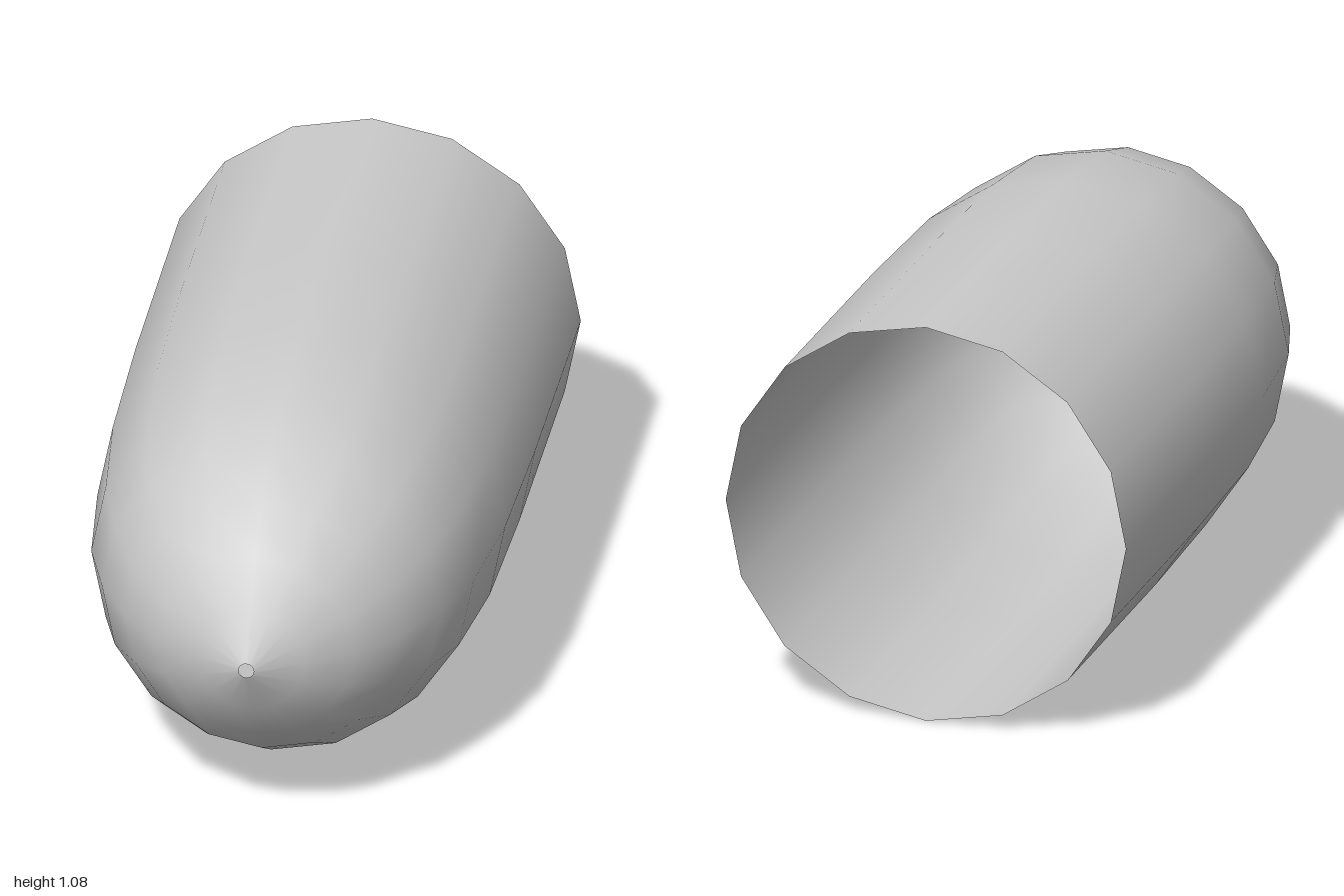
import * as THREE from 'three';

export function createModel() {
  const group = new THREE.Group();

  // Profile as [radius, z], from the open back to the small hole in the nose
  const profile = [
    [0.54, -1], [0.538, -0.29], [0.528, 0.125], [0.495, 0.425], [0.438, 0.605],
    [0.356, 0.75], [0.257, 0.86], [0.14, 0.94], [0.02, 1],
  ].map(([r, z]) => new THREE.Vector2(r, z));

  // Thin hollow shell, turned so its axis runs along z
  const geometry = new THREE.LatheGeometry(profile, 16);
  geometry.rotateX(Math.PI / 2);
  geometry.translate(0, 0.54, 0);

  const shell = new THREE.Mesh(
    geometry,
    new THREE.MeshStandardMaterial({ color: 0xcccccc, side: THREE.DoubleSide })
  );
  shell.name = 'shell';
  group.add(shell);
  return group;
}
